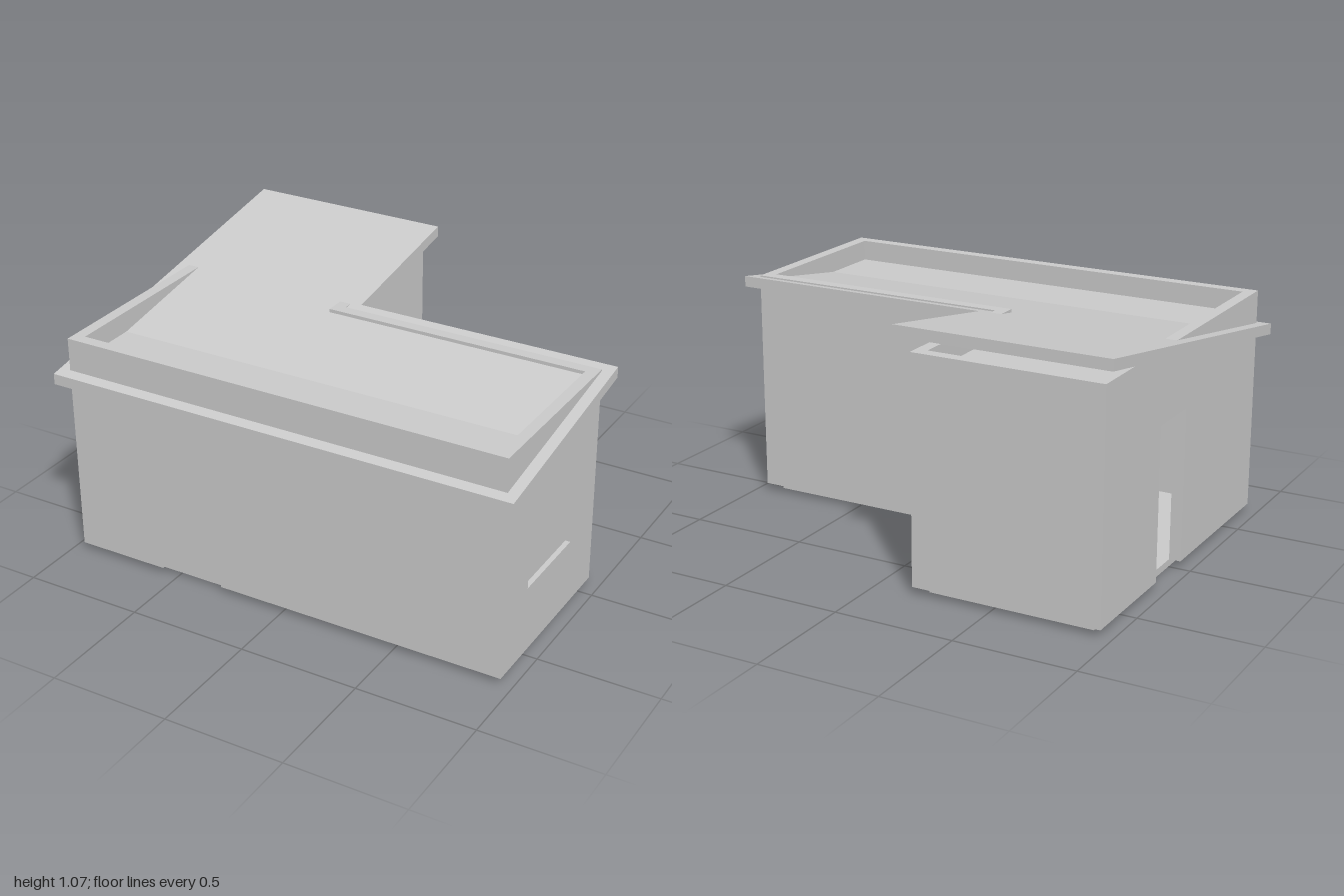
import * as THREE from 'three';

const T = 0.048;                       // wall thickness
const BASE = 0.03, TOP = 0.96;         // wall bottom and top
const X = 0.955, Z = 0.72;             // outer wall limits
const WING_X = -0.165, BACK_Z = -0.07; // inside corner of the L

// L-shaped plan, grown outwards by d, as a flat slab standing on y
function slab(d, y, height) {
  const plan = [
    [-X - d, Z + d], [X + d, Z + d], [X + d, BACK_Z - d],
    [WING_X + d, BACK_Z - d], [WING_X + d, -Z - d], [-X - d, -Z - d],
  ];
  const shape = new THREE.Shape(plan.map(([x, z]) => new THREE.Vector2(x, -z)));
  const geo = new THREE.ExtrudeGeometry(shape, { depth: height, bevelEnabled: false });
  return geo.rotateX(-Math.PI / 2).translate(0, y, 0);
}

// Upright wall from u0 to u1 with an optional doorway or window
function wall(u0, u1, { door, window } = {}) {
  const pts = [[u0, BASE]];
  if (door) {
    const [a, b, h] = door;
    pts.push([a, BASE], [a, h], [b, h], [b, BASE]);
  }
  pts.push([u1, BASE], [u1, TOP], [u0, TOP]);
  const shape = new THREE.Shape(pts.map(([u, y]) => new THREE.Vector2(u, y)));
  if (window) {
    const [a, b, y0, y1] = window;
    shape.holes.push(new THREE.Path([[a, y0], [a, y1], [b, y1], [b, y0]].map(([u, y]) => new THREE.Vector2(u, y))));
  }
  return new THREE.ExtrudeGeometry(shape, { depth: T, bevelEnabled: false });
}
const alongX = (z, ...args) => wall(...args).translate(0, 0, z);
// here u runs along -z
const alongZ = (x, ...args) => wall(...args).rotateY(Math.PI / 2).translate(x, 0, 0);

export function createModel() {
  const house = new THREE.Group();
  house.name = 'house';
  const plaster = new THREE.MeshStandardMaterial({ color: 0xcccccc });
  plaster.name = 'pale grey plaster';
  const add = (name, geo) => {
    const mesh = new THREE.Mesh(geo, plaster);
    mesh.name = name;
    house.add(mesh);
  };

  // Floor and flat ceiling fill the inside of the walls
  add('foundation', slab(-T, 0, BASE));
  add('ceiling', slab(-T, 0.84, 0.034));

  // Walls, butted at the corners
  add('frontWall', alongX(Z - T, -X, X, { door: [-0.56, -0.28, 0.65] }));
  add('leftWall', alongZ(X - T, T - Z, -BACK_Z - T, { window: [-0.515, -0.14, 0.31, 0.59] }));
  add('mainBackWall', alongX(BACK_Z, WING_X - T, X));
  add('wingSideWall', alongZ(WING_X - T, -BACK_Z, Z - T));
  add('wingBackWall', alongX(-Z, -X, WING_X));
  add('rightWall', alongZ(-X, T - Z, Z - T, { door: [-0.005, 0.23, 0.66] }));

  // Closed front door and window, set back in their openings
  add('frontDoor', new THREE.BoxGeometry(0.28, 0.62, 0.006).translate(-0.42, 0.34, 0.7));
  add('windowPane', new THREE.BoxGeometry(0.006, 0.28, 0.375).translate(0.931, 0.45, 0.3275));

  // Roof slab sheared upwards towards the back, with plumb edges
  const d = 0.046, roof = slab(d, 0.77, 0.045);
  const pos = roof.attributes.position;
  for (let i = 0; i < pos.count; i++) {
    pos.setY(i, pos.getY(i) + (Z + d - pos.getZ(i)) * 0.1663);
  }
  roof.computeVertexNormals();
  add('slopingRoof', roof);

  return house;
}
